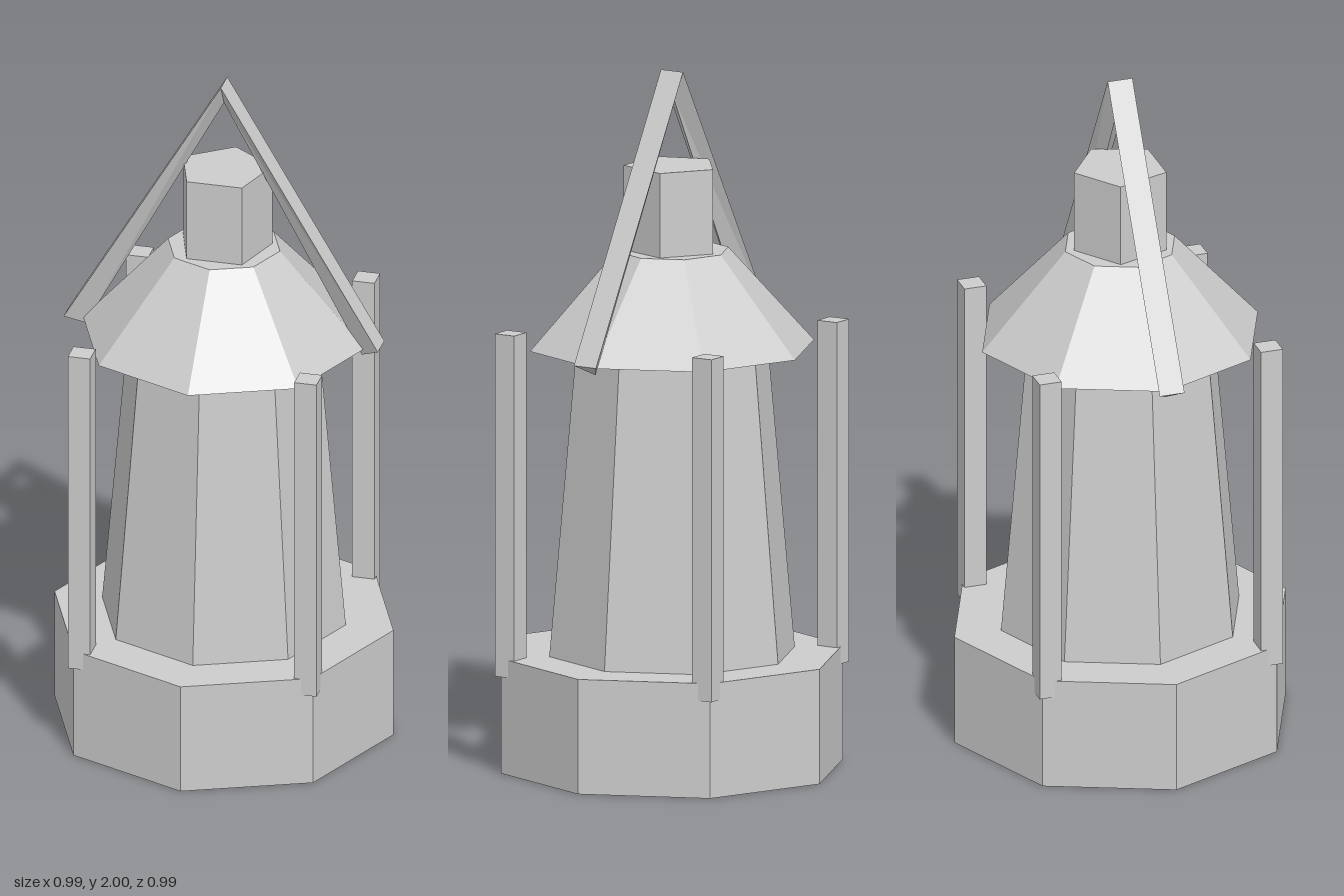
import * as THREE from 'three';

const grey = new THREE.MeshStandardMaterial({ color: 0xcccccc });
grey.name = 'plain grey';

// Faceted mesh: every face gets its own flat normal
function addPart(group, name, geometry) {
  const flat = geometry.index ? geometry.toNonIndexed() : geometry;
  flat.computeVertexNormals();
  const mesh = new THREE.Mesh(flat, grey);
  mesh.name = name;
  group.add(mesh);
  return mesh;
}

// Upright prism or frustum between two heights
function drum(rTop, rBottom, y0, y1, sides) {
  return new THREE.CylinderGeometry(rTop, rBottom, y1 - y0, sides).translate(0, (y0 + y1) / 2, 0);
}

// Bent triangular bar: flat outer face, sharp inner edge, three cross-sections
function handleGeometry() {
  const w = 0.037;
  const sections = [
    { outer: [-0.458, 1.222], inner: [-0.402, 1.19] },
    { outer: [0, 2], inner: [0, 1.936] },
    { outer: [0.458, 1.222], inner: [0.402, 1.19] },
  ];
  const positions = [];
  for (const { outer, inner } of sections) {
    positions.push(...outer, w, ...outer, -w, ...inner, 0);
  }
  const index = [0, 1, 2, 8, 7, 6]; // end caps
  for (let i = 0; i < 2; i++) {
    for (let j = 0; j < 3; j++) {
      const k = (j + 1) % 3;
      const a = i * 3 + j, b = a + 3, c = i * 3 + 3 + k, d = i * 3 + k;
      index.push(a, b, c, a, c, d);
    }
  }
  const g = new THREE.BufferGeometry();
  g.setAttribute('position', new THREE.Float32BufferAttribute(positions, 3));
  g.setIndex(index);
  return g;
}

export function createModel() {
  const lantern = new THREE.Group();
  lantern.name = 'lantern';

  // Octagonal body stack
  addPart(lantern, 'base', drum(0.494, 0.494, 0, 0.33, 8));
  addPart(lantern, 'glassBody', drum(0.277, 0.355, 0.33, 1.21, 8));
  addPart(lantern, 'roof', drum(0.163, 0.411, 1.21, 1.487, 8));

  // Five-sided cap with one corner at the back
  addPart(lantern, 'cap', drum(0.137, 0.137, 1.487, 1.73, 5).rotateY(Math.PI));

  // Four corner posts
  for (const x of [-1, 1]) {
    for (const z of [-1, 1]) {
      const post = addPart(lantern, 'cornerPost', new THREE.BoxGeometry(0.065, 0.985, 0.065));
      post.position.set(x * 0.33, 0.7725, z * 0.33);
    }
  }

  addPart(lantern, 'handle', handleGeometry());
  return lantern;
}
